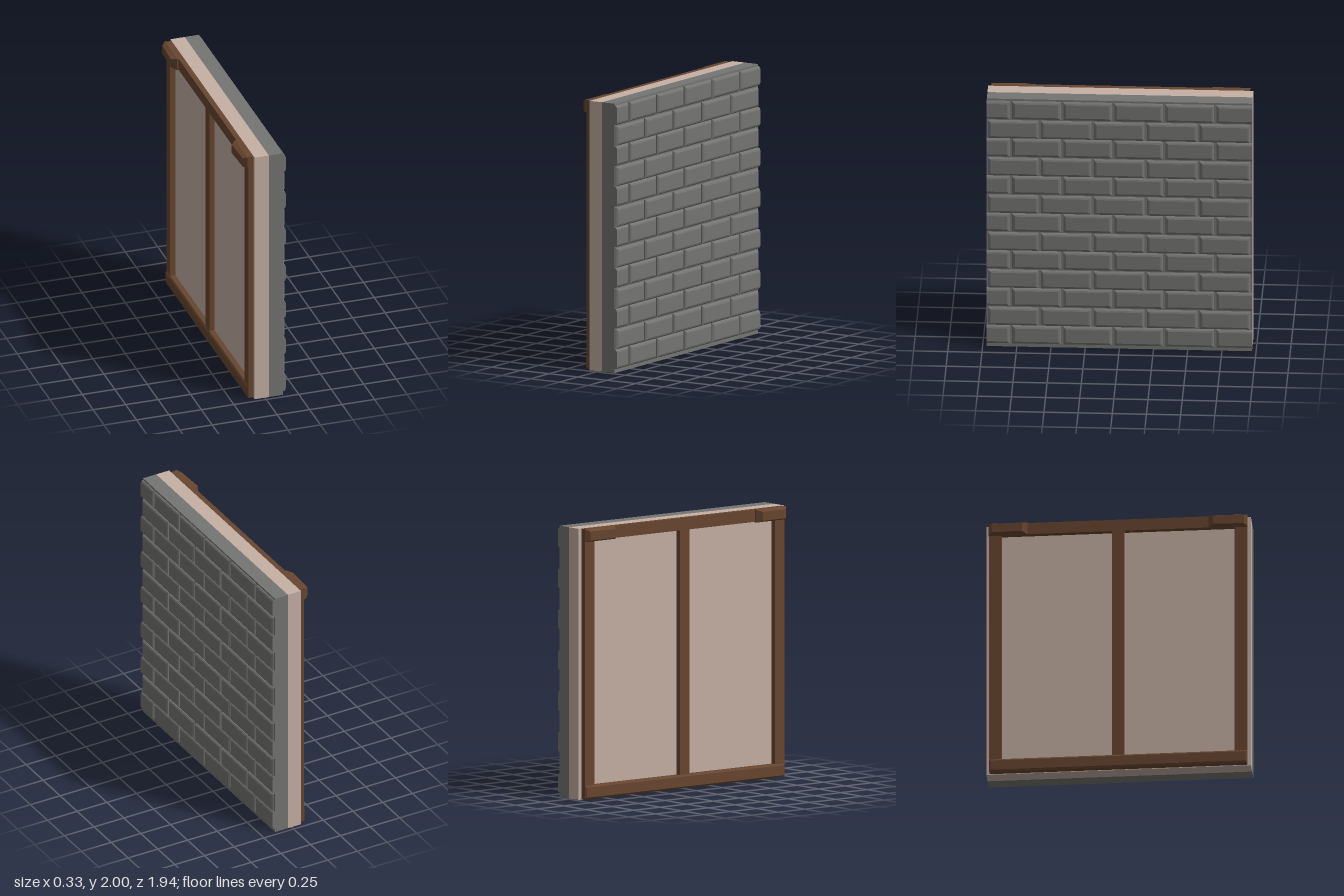
import * as THREE from 'three';
import { mergeGeometries } from 'three/addons/utils/BufferGeometryUtils.js';

const HALF = 0.97; // half the wall length along z

// Flat-shaded skin through four-cornered rings, capped on the last ring
function loft(rings) {
  const pos = [];
  const quad = (a, b, c, d) => pos.push(...a, ...b, ...c, ...a, ...c, ...d);
  for (let r = 0; r < rings.length - 1; r++) {
    const a = rings[r], b = rings[r + 1];
    for (let i = 0; i < 4; i++) {
      const j = (i + 1) % 4;
      quad(a[i], a[j], b[j], b[i]);
    }
  }
  quad(...rings[rings.length - 1]);
  const g = new THREE.BufferGeometry();
  g.setAttribute('position', new THREE.Float32BufferAttribute(pos, 3));
  g.computeVertexNormals();
  return g;
}

// Rectangle in the y-z plane, wound to face +x (dir 1) or -x (dir -1); xa at z0, xb at z1
function ring(dir, y0, y1, z0, z1, xa, xb = xa) {
  const a = [xa, y0, z0], b = [xb, y0, z1], c = [xb, y1, z1], d = [xa, y1, z0];
  return dir > 0 ? [b, a, d, c] : [a, b, c, d];
}

// Brick with a softened rim; ends cut flush with the wall keep a square edge
function brick(y0, y1, z0, z1) {
  const rim = [[0.138, 0], [0.147, 0], [0.156, 0.009], [0.16, 0.02]];
  return loft(rim.map(([x, inset]) => ring(1, y0 + inset, y1 - inset,
    z0 <= -HALF ? z0 : z0 + inset, z1 >= HALF ? z1 : z1 - inset, x)));
}

export function createModel() {
  const stone = new THREE.MeshStandardMaterial({ color: 0x747472 });
  stone.name = 'greyStone';
  const plaster = new THREE.MeshStandardMaterial({ color: 0xc6b0a4 });
  plaster.name = 'palePlaster';
  const wood = new THREE.MeshStandardMaterial({ color: 0x684630 });
  wood.name = 'brownWood';

  const model = new THREE.Group();
  model.name = 'wallSection';
  const add = (parent, name, geometry, material) => {
    const m = new THREE.Mesh(geometry, material);
    m.name = name;
    parent.add(m);
  };
  const box = (parent, name, material, x0, x1, y0, y1, z0, z1) => {
    const g = new THREE.BoxGeometry(x1 - x0, y1 - y0, z1 - z0);
    g.translate((x0 + x1) / 2, (y0 + y1) / 2, (z0 + z1) / 2);
    add(parent, name, g, material);
  };

  // Two-layer wall core
  box(model, 'stoneSlab', stone, 0.03, 0.14, 0, 2, -HALF, HALF);
  box(model, 'plasterSlab', plaster, -0.08, 0.03, 0, 2, -HALF, HALF);

  // Thirteen brick courses in running bond
  const bricks = [];
  for (let row = 0; row < 13; row++) {
    const even = row % 2 === 0;
    const y = 0.101 + row * 0.151 - (even ? 0 : 0.004);
    const pitch = even ? 0.3735 : 0.387;
    const first = even ? 0.979 : 0.775;
    const halfLength = even ? 0.178 : 0.185;
    for (let k = 0; k < (even ? 6 : 5); k++) {
      const z = first - k * pitch;
      let z0 = z - halfLength, z1 = z + halfLength;
      if (even && k === 0) z1 = HALF;
      if (even && k === 5) z0 = -HALF;
      bricks.push(brick(y - 0.072, y + 0.072, z0, z1));
    }
  }
  add(model, 'bricks', mergeGeometries(bricks), stone);

  // Timber frame on the inner side
  const frame = new THREE.Group();
  frame.name = 'timberFrame';
  model.add(frame);
  box(frame, 'topBeam', wood, -0.12, -0.08, 1.91, 2, -0.945, 0.945);
  for (const [name, z] of [['backPost', -0.9], ['middlePost', 0], ['frontPost', 0.9]])
    box(frame, name, wood, -0.12, -0.08, 0.1, 1.91, z - 0.045, z + 0.045);

  // Bottom beam with chamfered outer edges
  add(frame, 'bottomBeam', loft([
    ring(-1, 0.005, 0.105, -0.945, 0.945, -0.08),
    ring(-1, 0.005, 0.105, -0.945, 0.945, -0.12),
    ring(-1, 0.018, 0.092, -0.935, 0.935, -0.13),
  ]), wood);

  // Tapered corner brackets on the top beam
  for (const side of [1, -1]) {
    const span = (y0, y1, inner, outer, xi, xo) => side > 0
      ? ring(-1, y0, y1, inner, outer, xi, xo)
      : ring(-1, y0, y1, -outer, -inner, xo, xi);
    add(frame, side > 0 ? 'frontBracket' : 'backBracket', loft([
      span(1.905, 2, 0.665, 0.95, -0.115, -0.115),
      span(1.905, 2, 0.665, 0.95, -0.13, -0.13),
      span(1.918, 1.985, 0.70, 0.925, -0.166, -0.158),
    ]), wood);
  }
  return model;
}
